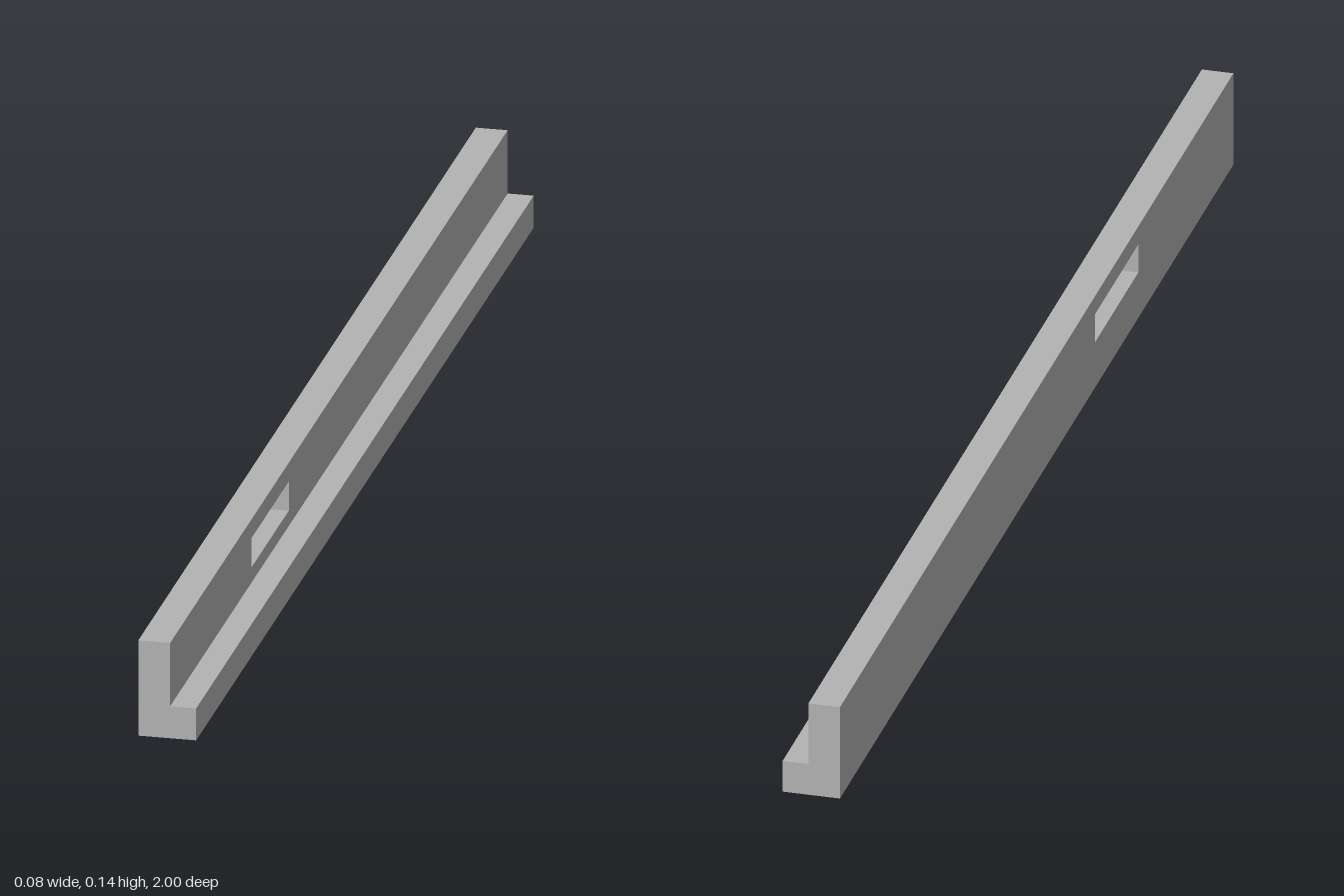
import * as THREE from 'three';

const LENGTH = 2;
const X_BACK = -0.04, X_STEP = 0.004, X_FRONT = 0.04;
const WALL_HEIGHT = 0.137, LEDGE_HEIGHT = 0.046;
const SLOT = { z0: 0.297, z1: 0.517, y0: 0.068, y1: 0.11 };

// Rectangle traced corner by corner onto a shape or path
function rectangle(path, x0, y0, x1, y1) {
  path.moveTo(x0, y0);
  path.lineTo(x1, y0);
  path.lineTo(x1, y1);
  path.lineTo(x0, y1);
  path.closePath();
  return path;
}

export function createModel() {
  const group = new THREE.Group();
  group.name = 'slottedRail';

  const grey = new THREE.MeshStandardMaterial({ color: 0xb3b3b3 });
  grey.name = 'grey';

  // Tall wall, drawn side-on (shape x = -z) with its slot, then extruded along x
  const side = rectangle(new THREE.Shape(), -LENGTH / 2, 0, LENGTH / 2, WALL_HEIGHT);
  side.holes.push(rectangle(new THREE.Path(), -SLOT.z1, SLOT.y0, -SLOT.z0, SLOT.y1));
  const wallGeometry = new THREE.ExtrudeGeometry(side, { depth: X_STEP - X_BACK, bevelEnabled: false });
  wallGeometry.rotateY(Math.PI / 2);
  wallGeometry.translate(X_BACK, 0, 0);
  const wall = new THREE.Mesh(wallGeometry, grey);
  wall.name = 'wall';
  group.add(wall);

  // Low ledge along the foot of the wall
  const ledge = new THREE.Mesh(new THREE.BoxGeometry(X_FRONT - X_STEP, LEDGE_HEIGHT, LENGTH), grey);
  ledge.name = 'ledge';
  ledge.position.set((X_STEP + X_FRONT) / 2, LEDGE_HEIGHT / 2, 0);
  group.add(ledge);

  return group;
}
